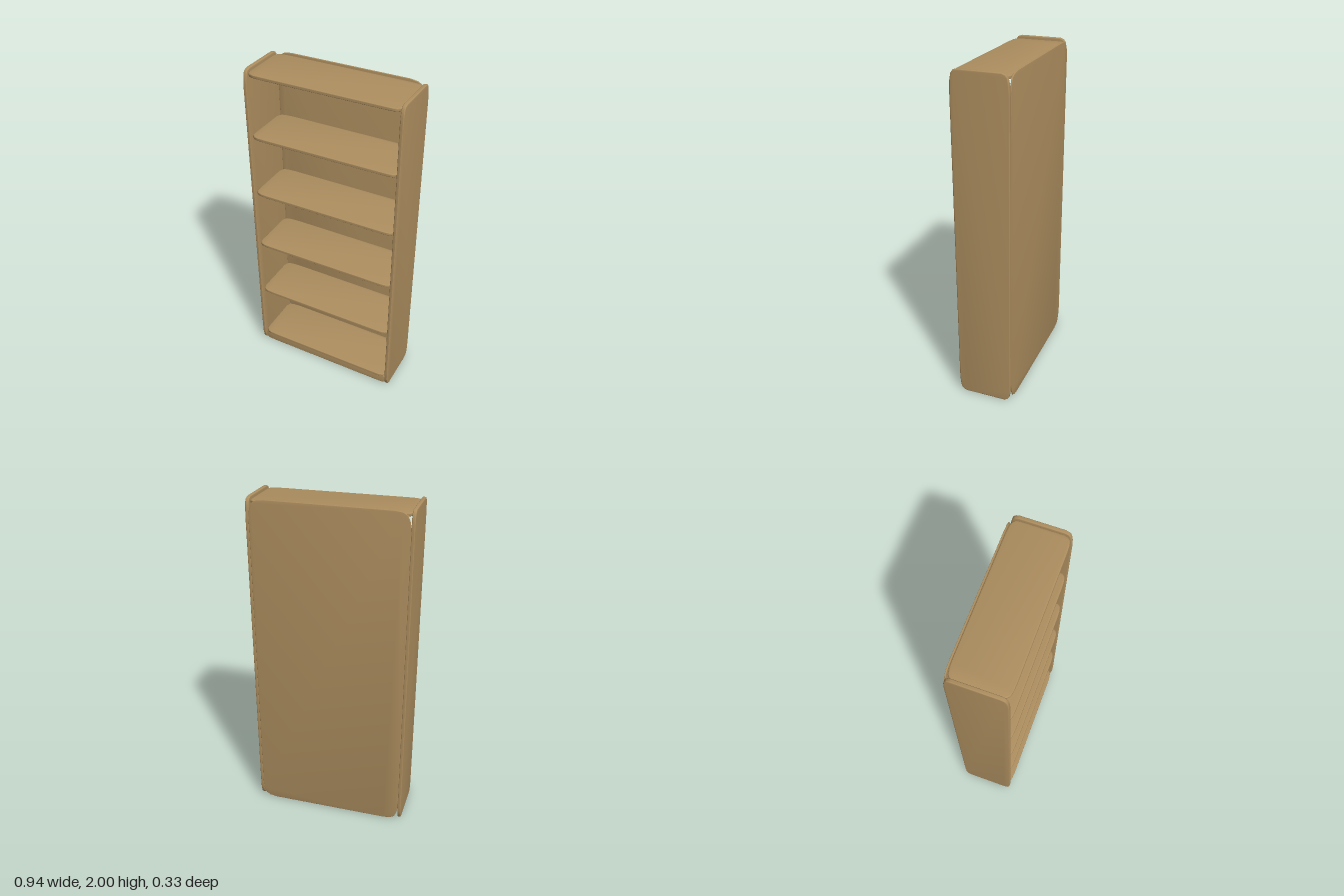
import * as THREE from 'three';
import { toCreasedNormals } from 'three/addons/utils/BufferGeometryUtils.js';

const wood = new THREE.MeshStandardMaterial({ color: 0xad8e5f });
wood.name = 'wood';

// Thin w x h board lying in the xy plane, with softened corners and edges.
// cu, cv: how far the corner easing runs along each side.
function board(w, h, t, cu, cv) {
  const a = w / 2, b = h / 2;
  const corner = [
    [a, b - cv], [a - cu * 0.06, b - cv * 0.52], [a - cu * 0.22, b - cv * 0.2],
    [a - cu * 0.5, b - cv * 0.06], [a - cu, b],
  ];
  const mirrored = (sx, sy, flip) => {
    const pts = corner.map(([x, y]) => new THREE.Vector2(x * sx, y * sy));
    return flip ? pts.reverse() : pts;
  };
  const shape = new THREE.Shape([
    ...mirrored(1, 1, false), ...mirrored(-1, 1, true),
    ...mirrored(-1, -1, false), ...mirrored(1, -1, true),
  ]);
  const bevel = t * 0.3;
  const geometry = new THREE.ExtrudeGeometry(shape, {
    depth: t - 2 * bevel, bevelEnabled: true, bevelThickness: bevel,
    bevelSize: bevel, bevelOffset: -bevel, bevelSegments: 3,
  });
  geometry.translate(0, 0, bevel - t / 2);
  return toCreasedNormals(geometry, 0.7);
}

export function createModel() {
  const group = new THREE.Group();
  group.name = 'bookcase';
  const add = (name, geometry, x, y, z) => {
    const mesh = new THREE.Mesh(geometry, wood);
    mesh.name = name;
    mesh.position.set(x, y, z);
    group.add(mesh);
  };

  // Upright sides
  const side = board(0.332, 2, 0.021, 0.045, 0.12).rotateY(Math.PI / 2);
  add('leftSide', side, 0.461, 1, 0);
  add('rightSide', side, -0.461, 1, 0);

  // Back panel
  add('backPanel', board(0.904, 1.992, 0.008, 0.09, 0.11), 0, 0.998, -0.164);

  // Six evenly spaced shelves, the highest one closing the top
  const shelf = board(0.904, 0.326, 0.02, 0.09, 0.045).rotateX(Math.PI / 2);
  for (let i = 0; i < 6; i++) {
    add(i === 5 ? 'topShelf' : 'shelf' + (i + 1), shelf, 0, 0.076 + i * 0.379, 0.003);
  }

  // Kick board under the lowest shelf
  add('kickBoard', board(0.904, 0.068, 0.018, 0.07, 0.02), 0, 0.036, 0.139);

  return group;
}
